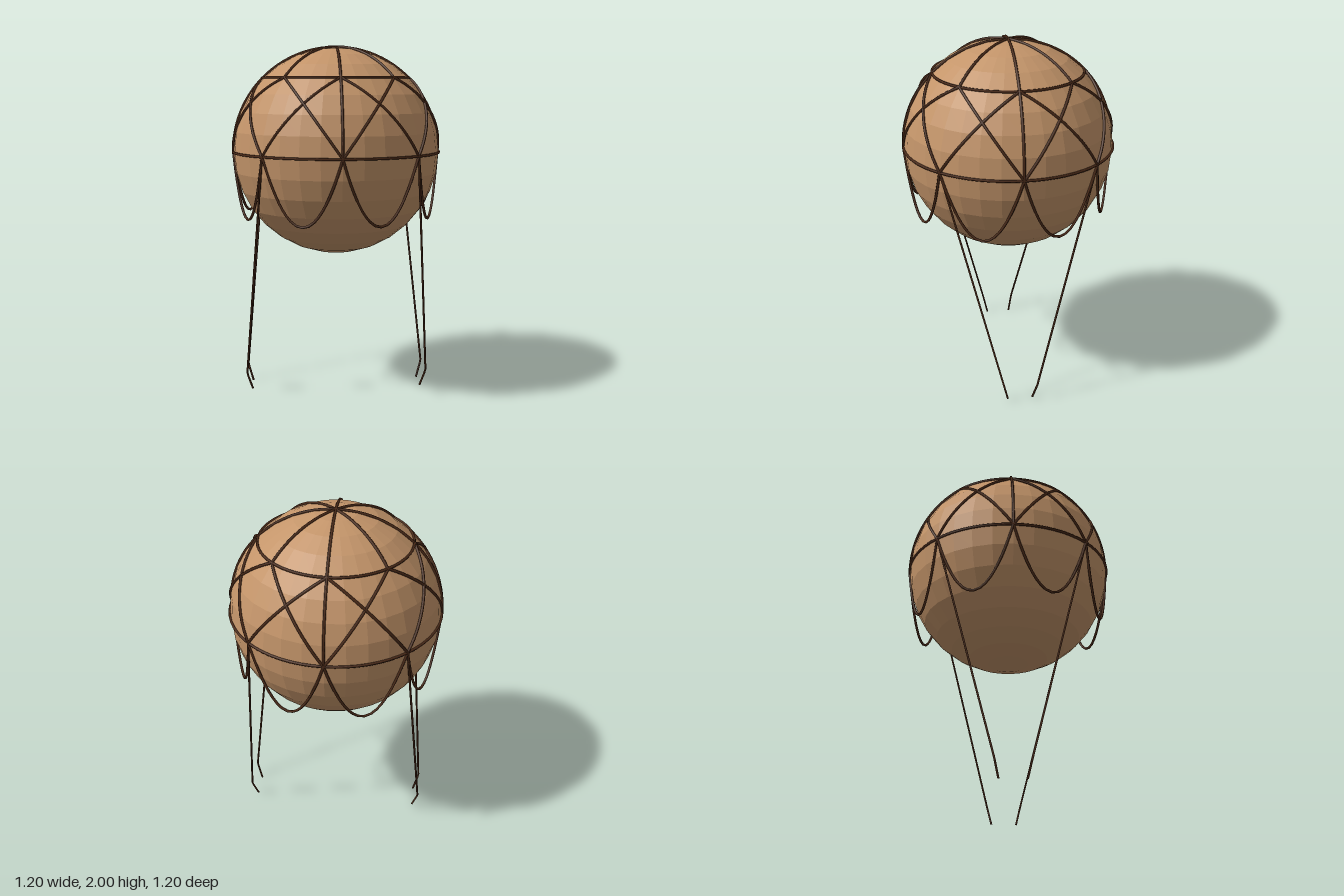
import * as THREE from 'three';

const R = 0.593, CY = 1.4;
const skin = new THREE.MeshStandardMaterial({ color: 0xc4956a, flatShading: true });
const cord = new THREE.MeshStandardMaterial({ color: 0x4a2a18 });

// Point on the net sphere: polar angle from the top, azimuth in eighths of a turn
function node(polar, eighth) {
  return new THREE.Vector3().setFromSphericalCoords(R, polar, eighth * Math.PI / 4);
}

// Points of the shortest arc over the sphere between two nodes
function arc(a, b, n = 12) {
  const w = a.angleTo(b), pts = [];
  for (let i = 0; i <= n; i++) {
    const t = i / n;
    pts.push(a.clone().multiplyScalar(Math.sin((1 - t) * w) / Math.sin(w))
      .addScaledVector(b, Math.sin(t * w) / Math.sin(w)));
  }
  return pts;
}

function tube(name, curve, radius, segments) {
  const mesh = new THREE.Mesh(new THREE.TubeGeometry(curve, segments, radius, 6), cord);
  mesh.name = name;
  return mesh;
}

export function createModel() {
  const model = new THREE.Group();
  model.name = 'balloon';

  // Gas envelope
  const envelope = new THREE.Mesh(new THREE.SphereGeometry(0.59, 32, 16), skin);
  envelope.name = 'envelope';
  envelope.position.y = CY;
  model.add(envelope);

  // Net over the upper half
  const net = new THREE.Group();
  net.name = 'net';
  net.position.y = CY;
  model.add(net);
  const strand = (name, pts, segments = 16) =>
    net.add(tube(name, new THREE.CatmullRomCurve3(pts), 0.0075, segments));

  for (const [name, polar] of [['equatorRing', Math.PI / 2], ['upperRing', Math.PI / 4]]) {
    const ring = new THREE.Mesh(
      new THREE.TorusGeometry(R * Math.sin(polar), 0.0075, 6, 64), cord);
    ring.name = name;
    ring.rotation.x = Math.PI / 2;
    ring.position.y = R * Math.cos(polar);
    net.add(ring);
  }

  const top = new THREE.Vector3(0, R, 0);
  for (let i = 0; i < 8; i++) {
    const upper = node(Math.PI / 4, i), low = node(Math.PI / 2, i);
    const next = node(Math.PI / 2, i + 1), prev = node(Math.PI / 2, i - 1);
    // Meridians: every second one runs on to the equator
    strand('meridian', arc(top, i % 2 ? upper : low), 24);
    // Crossing diagonals
    strand('diagonal', arc(upper, next));
    strand('diagonal', arc(upper, prev));
    // Hanging loop below the equator
    const loop = [];
    for (let k = 0; k <= 16; k++) {
      const t = k / 16, p = low.clone().lerp(next, t);
      p.y = -0.368 * 4 * t * (1 - t);
      loop.push(p);
    }
    strand('hangingLoop', loop, 24);
  }

  // Four suspension ropes with a kinked lower end
  for (const sx of [1, -1]) for (const sz of [1, -1]) {
    const path = new THREE.CurvePath();
    const p = [[0.42, 1.4, 0.42], [0.528, 0.1, 0.095], [0.497, 0.002, 0.072]]
      .map(([x, y, z]) => new THREE.Vector3(sx * x, y, sz * z));
    path.add(new THREE.LineCurve3(p[0], p[1]));
    path.add(new THREE.LineCurve3(p[1], p[2]));
    model.add(tube('suspensionRope', path, 0.006, 52));
  }
  return model;
}
